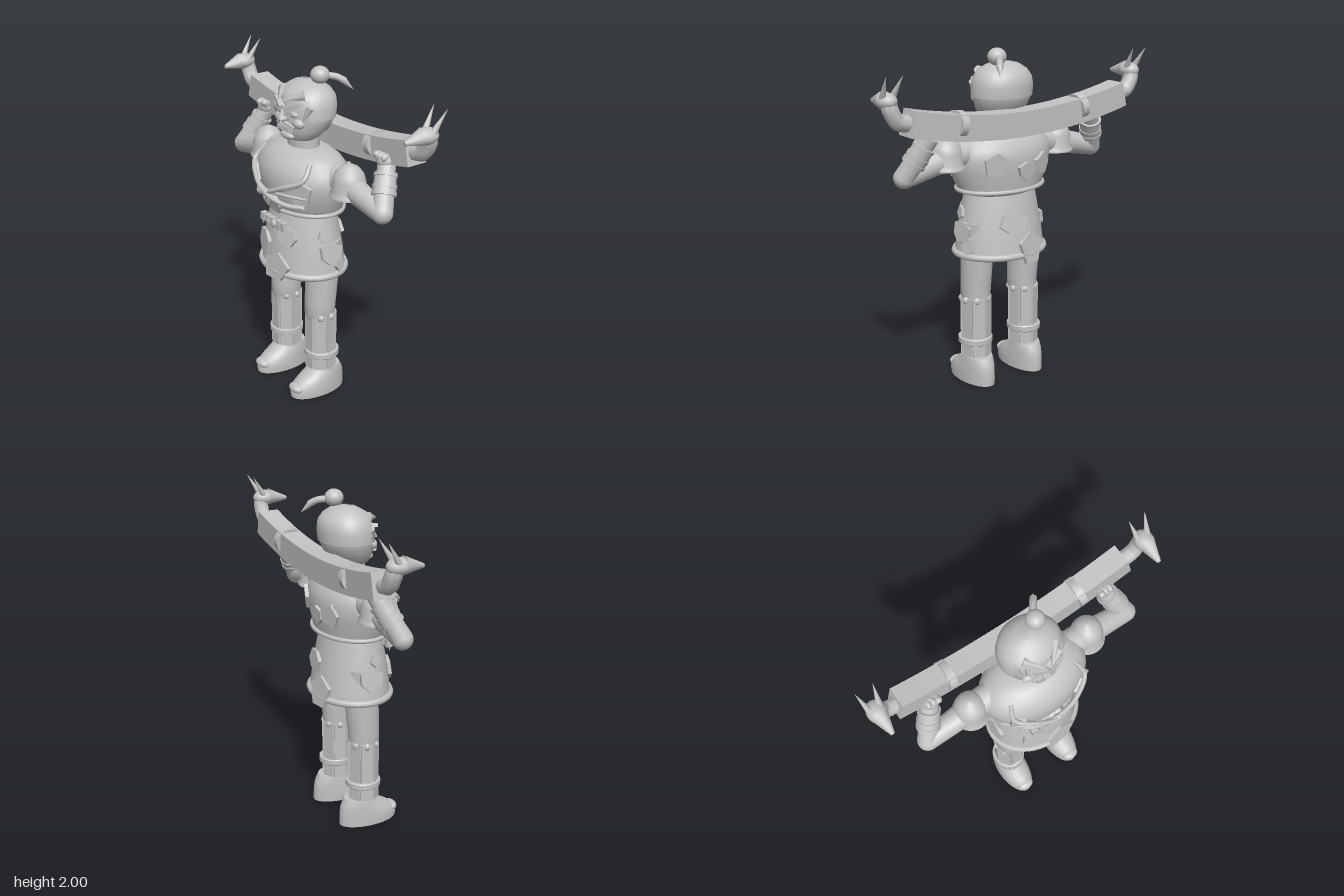
import * as THREE from 'three';
import { toCreasedNormals } from 'three/addons/utils/BufferGeometryUtils.js';

const V = (x, y, z) => new THREE.Vector3(x, y, z);

// Cross-sections [y, half width, front z, back z], bottom to top
const TORSO = [[1.16, .225, .16, -.18], [1.18, .27, .175, -.21], [1.22, .285, .19, -.215], [1.3, .32, .21, -.23],
  [1.38, .335, .215, -.235], [1.44, .325, .2, -.225], [1.49, .285, .165, -.19], [1.525, .22, .12, -.15], [1.54, .12, .08, -.11]];
const SKIRT = [[.8, .283, .215, -.24], [.92, .27, .2, -.225], [1.04, .25, .185, -.205], [1.12, .235, .165, -.19], [1.17, .225, .155, -.18]];
const HEAD = [[1.59, .1, .09, -.09], [1.605, .115, .1, -.1], [1.65, .15, .115, -.15], [1.72, .174, .115, -.18],
  [1.78, .176, .11, -.185], [1.83, .165, .1, -.18], [1.87, .138, .075, -.155], [1.9, .09, .025, -.11], [1.915, .03, -.02, -.06]];

export function createModel() {
  const model = new THREE.Group();
  const clay = new THREE.MeshStandardMaterial({ color: 0xc2c2c2, side: THREE.DoubleSide });
  clay.name = 'light grey';

  function add(geo, name, pos, rot) {
    const m = new THREE.Mesh(geo, clay);
    m.name = name;
    if (pos) m.position.set(...pos);
    if (rot) m.rotation.set(...rot);
    model.add(m);
    return m;
  }

  // Skin over stacked oval sections, optionally over a partial arc
  function loft(rings, name, { cx = 0, a0 = 0, a1 = Math.PI * 2, seg = 36, cap = false, grow = 0 } = {}) {
    const p = [], idx = [], w = seg + 1;
    for (const [y, rx, f, b] of rings) for (let i = 0; i <= seg; i++) {
      const a = a0 + (a1 - a0) * i / seg;
      p.push(cx + Math.sin(a) * (rx + grow), y, (f + b) / 2 + Math.cos(a) * ((f - b) / 2 + grow));
    }
    for (let j = 0; j < rings.length - 1; j++) for (let i = 0; i < seg; i++) {
      const k = j * w + i;
      idx.push(k, k + 1, k + w + 1, k, k + w + 1, k + w);
    }
    if (cap) [0, rings.length - 1].forEach((j) => {
      const c = p.length / 3, [y, , f, b] = rings[j];
      p.push(cx, y, (f + b) / 2);
      for (let i = 0; i < seg; i++) j ? idx.push(c, j * w + i, j * w + i + 1) : idx.push(c, i + 1, i);
    });
    const g = new THREE.BufferGeometry();
    g.setAttribute('position', new THREE.Float32BufferAttribute(p, 3));
    g.setIndex(idx);
    g.computeVertexNormals();
    return add(toCreasedNormals(g, .7), name);
  }

  // Point on a lofted body at angle a (0 = front) and height y
  function surf(rings, a, y, off = 0) {
    let j = 0;
    while (j < rings.length - 2 && rings[j + 1][0] < y) j++;
    const t = (y - rings[j][0]) / (rings[j + 1][0] - rings[j][0]);
    const [rx, f, b] = [1, 2, 3].map((k) => THREE.MathUtils.lerp(rings[j][k], rings[j + 1][k], t));
    return V(Math.sin(a) * (rx + off), y, (f + b) / 2 + Math.cos(a) * ((f - b) / 2 + off));
  }

  // Straight limb between two points
  function limb(a, b, r0, r1, name, seg = 18) {
    const d = b.clone().sub(a);
    const m = add(new THREE.CylinderGeometry(r1, r0, d.length(), seg), name);
    m.position.copy(a).addScaledVector(d, .5);
    m.quaternion.setFromUnitVectors(V(0, 1, 0), d.normalize());
    return m;
  }
  const tube = (pts, r, name, closed = false) =>
    add(new THREE.TubeGeometry(new THREE.CatmullRomCurve3(pts, closed), 48, r, 8, closed), name);
  const ball = (x, y, z, rx, ry, rz, name) => {
    const m = add(new THREE.SphereGeometry(1, 20, 14), name, [x, y, z]);
    m.scale.set(rx, ry, rz);
    return m;
  };
  const hoop = (rings, y, off, r, name) =>
    tube(Array.from({ length: 24 }, (_, i) => surf(rings, i * Math.PI / 12, y, off)), r, name, true);

  // Irregular flat patch sewn on the body
  function patch(rings, deg, y, w, h, sides, turn, name) {
    const a = deg * Math.PI / 180, pts = [];
    for (let i = 0; i < sides; i++) {
      const t = turn + i * 2 * Math.PI / sides, k = 1 + .13 * Math.sin(i * 2.7 + turn * 5);
      pts.push(new THREE.Vector2(Math.cos(t) * w * k / 2, Math.sin(t) * h * k / 2));
    }
    const m = add(new THREE.ExtrudeGeometry(new THREE.Shape(pts), { depth: .022, bevelEnabled: false }), name);
    const du = surf(rings, a + .02, y).sub(surf(rings, a - .02, y));
    const dv = surf(rings, a, y + .02).sub(surf(rings, a, y - .02));
    const n = du.cross(dv).normalize();
    m.position.copy(surf(rings, a, y)).addScaledVector(n, -.006);
    m.lookAt(m.position.clone().add(n));
  }

  // Body
  loft(TORSO, 'torso', { cap: true, seg: 48 });
  loft(SKIRT, 'tunicSkirt', { seg: 48 });
  hoop(SKIRT, .805, 0, .02, 'skirtHem');
  hoop(TORSO, 1.19, .006, .013, 'chestHem');
  loft([[1.5, .105, .07, -.1], [1.62, .105, .07, -.1]], 'neck');

  // Patches: section, angle, height, width, height, sides, turn
  [[TORSO, 40, 1.34, .14, .17, 5, .4], [TORSO, -38, 1.34, .14, .17, 5, 1], [TORSO, 0, 1.225, .15, .12, 6, 0],
    [TORSO, 150, 1.36, .15, .16, 5, .2], [TORSO, 185, 1.31, .13, .11, 6, .6], [TORSO, 207, 1.33, .15, .13, 5, 1.4],
    [SKIRT, -24, .945, .17, .15, 6, .3], [SKIRT, 24, 1.04, .15, .12, 6, .9], [SKIRT, 9, .835, .2, .19, 5, .2],
    [SKIRT, 90, .945, .15, .14, 6, .4], [SKIRT, -90, .945, .15, .14, 6, .4], [SKIRT, 168, 1.0, .17, .13, 6, .2],
    [SKIRT, 192, .84, .17, .22, 5, .3], [SKIRT, 105, .87, .08, .12, 5, .8], [SKIRT, -80, 1.05, .07, .08, 5, .8],
    [SKIRT, 80, 1.05, .07, .08, 5, .8]].forEach((q, i) => patch(...q, 'patch' + (i + 1)));

  // Belt pegs
  [-.125, -.075, -.03, .03, .075].forEach((x) => {
    add(new THREE.BoxGeometry(.032, .045, .035), 'beltPouch', [x, 1.095, .18]);
    add(new THREE.ConeGeometry(.012, .04, 8), 'beltPeg', [x, 1.06, .187], [Math.PI, 0, 0]);
  });
  ball(0, 1.09, .19, .025, .025, .022, 'beltKnot');

  // Crossed chest ropes with a pendant
  for (const s of [-1, 1]) {
    tube([[-.9, 1.5, .01], [-.75, 1.42, .02], [-.35, 1.36, .035], [0, 1.3, .04 + s * .006], [.4, 1.255, .03], [.8, 1.25, .015]]
      .map(([a, y, o]) => surf(TORSO, a * s, y, o)), .014, 'chestRope');
    tube([[-.85, 1.31, .015], [-.4, 1.32, .03], [0, 1.315, .035], [.45, 1.36, .03], [.75, 1.4, .015]]
      .map(([a, y, o]) => surf(TORSO, a * s, y, o)), .009, 'thinChestRope');
  }
  ball(0, 1.3, .25, .025, .025, .02, 'ropeKnot');
  add(new THREE.ConeGeometry(.02, .07, 8), 'pendant', [0, 1.25, .235], [Math.PI, 0, 0]);

  // Head with hair cap, side flaps and topknot
  loft(HEAD, 'head', { cap: true });
  const cut = (lo, hi) => [lo, ...HEAD.map((r) => r[0]).filter((y) => y > lo && y < hi), hi].map((y) => {
    const c = surf(HEAD, 0, y), b = surf(HEAD, Math.PI, y);
    return [y, surf(HEAD, Math.PI / 2, y).x, c.z, b.z];
  });
  loft(cut(1.84, 1.915), 'hairCap', { grow: .012 });
  loft(cut(1.72, 1.85), 'hairSides', { grow: .013, a0: 1, a1: Math.PI * 2 - 1 });
  loft(cut(1.64, 1.73), 'napeHair', { grow: .008, a0: 1.9, a1: Math.PI * 2 - 1.9 });
  ball(.067, 1.95, -.078, .055, .05, .055, 'topknot');
  tube([V(.07, 1.945, -.1), V(.11, 1.935, -.16), V(.14, 1.91, -.2)], .02, 'topknotTail');
  limb(V(.135, 1.915, -.192), V(.165, 1.86, -.24), .02, .001, 'topknotTip', 10);

  // Face
  add(new THREE.ConeGeometry(.032, .09, 4), 'nose', [0, 1.755, .125], [-.2, Math.PI / 4, 0]);
  ball(0, 1.72, .13, .03, .018, .026, 'noseTip');
  add(new THREE.BoxGeometry(.12, .032, .03), 'mouth', [0, 1.66, .11]);
  for (let i = -3; i <= 3; i++) add(new THREE.BoxGeometry(.013, .024, .01), 'tooth', [i * .016, 1.66, .126]);
  ball(0, 1.615, .095, .06, .025, .03, 'chin');
  for (const s of [-1, 1]) {
    ball(s * .065, 1.75, .098, .032, .018, .018, 'eye');
    ball(s * .085, 1.7, .082, .045, .03, .03, 'cheek');
    add(new THREE.BoxGeometry(.11, .022, .035), 'eyebrow', [s * .06, 1.795, .108], [0, s * .35, s * .3]);
    add(new THREE.BoxGeometry(.085, .014, .022), 'moustache', [s * .045, 1.688, .118], [0, s * .3, -s * .3]);
    limb(V(s * .1, 1.86, .05), V(s * .015, 1.828, .15), .03, .002, 'forelock', 6);
    limb(V(s * .145, 1.8, .045), V(s * .115, 1.7, .085), .026, .002, 'sidelock', 6);
  }

  // Yoke: bowed beam swept along an arc
  const R = 3.3, T = .145, half = .234, cy = 1.515 + R;
  const bow = new THREE.Shape();
  bow.absarc(0, cy, R, -Math.PI / 2 - half, -Math.PI / 2 + half, false);
  bow.absarc(0, cy, R - T, -Math.PI / 2 + half, -Math.PI / 2 - half, true);
  add(new THREE.ExtrudeGeometry(bow, { depth: .125, bevelEnabled: false, curveSegments: 24 }), 'yoke', [0, 0, -.265]);

  for (const s of [-1, 1]) {
    // Yoke straps and horned ends
    const strap = add(new THREE.CylinderGeometry(1, 1, .045, 24), 'yokeStrap', [s * .43, 1.63, -.202], [0, 0, Math.PI / 2 + s * .13]);
    strap.scale.set(.077, 1, .088);
    tube([V(s * .74, 1.67, -.2), V(s * .81, 1.69, -.2), V(s * .85, 1.75, -.2), V(s * .86, 1.8, -.19)], .047, 'beastNeck');
    ball(s * .86, 1.8, -.175, .056, .046, .07, 'beastHead');
    limb(V(s * .86, 1.802, -.15), V(s * .855, 1.785, -.03), .05, .012, 'beastSnout', 12);
    for (const t of [-1, 1]) limb(V(s * .86 + t * .03, 1.82, -.19), V(s * .86 + t * .052, 1.94, -.262), .02, .001, 'horn', 8);

    // Arm bent up to hold the yoke
    const shoulder = V(s * .37, 1.41, -.04), elbow = V(s * .68, 1.335, -.045), wrist = V(s * .575, 1.57, -.155);
    limb(V(s * .26, 1.42, -.04), shoulder, .08, .08, 'shoulderJoint');
    const dome = [[0, .11], [.015, .11], [.03, .097], [.09, .095], [.13, .083], [.165, .055], [.183, .02], [.187, 0]];
    add(new THREE.LatheGeometry(dome.map(([y, r]) => new THREE.Vector2(r, y)), 28), 'shoulderCap', [s * .395, 1.345, -.04]);
    limb(shoulder, elbow, .075, .06, 'upperArm');
    ball(elbow.x, elbow.y, elbow.z, .06, .06, .06, 'elbow');
    limb(elbow, wrist, .06, .05, 'forearm');
    const at = (t) => elbow.clone().lerp(wrist, t);
    limb(at(.38), at(.75), .066, .06, 'bracer');
    [.38, .52, .75].forEach((t) => limb(at(t - .04), at(t + .04), .073 - t * .01, .073 - t * .01, 'bracerRing'));
    ball(s * .575, 1.585, -.15, .055, .045, .055, 'fist');
    for (let i = 0; i < 3; i++) ball(s * (.6 - i * .03), 1.61, -.125, .018, .024, .03, 'finger');
    limb(V(s * .57, 1.59, -.115), V(s * .545, 1.62, -.11), .018, .016, 'thumb', 10);
    ball(s * .54, 1.62, -.11, .02, .018, .02, 'thumbTip');

    // Leg, shin slats and boot
    const cx = s * .178;
    loft([[.16, .075, .05, -.1], [.5, .082, .075, -.1], [.53, .088, .086, -.1], [.6, .09, .085, -.106],
      [.75, .092, .08, -.122], [1, .095, .075, -.13]], 'leg', { cx: s * .175, cap: true, seg: 24 });
    for (let i = 0; i < 7; i++) {
      const a = i * 2 * Math.PI / 7;
      add(new THREE.BoxGeometry(.066, .365, .014), 'shinSlat',
        [cx + Math.sin(a) * .082, .35, -.014 + Math.cos(a) * .082], [0, a, 0]);
      ball(cx + Math.sin(a) * .073, .52, -.012 + Math.cos(a) * .075, .03, .025, .02, 'trouserFold');
    }
    loft([[.245, .096, .083, -.117], [.25, .101, .089, -.122], [.28, .101, .089, -.122], [.285, .096, .083, -.117]],
      'shinBand', { cx: s * .184, cap: true });
    loft([[0, .092, .2, -.17], [.04, .094, .205, -.17], [.075, .093, .185, -.168], [.105, .09, .145, -.163],
      [.13, .088, .1, -.155], [.165, .083, .065, -.135]], 'boot', { cx: s * .182, cap: true });
    ball(s * .182, .058, .17, .055, .03, .038, 'toePompom');
  }
  return model;
}
